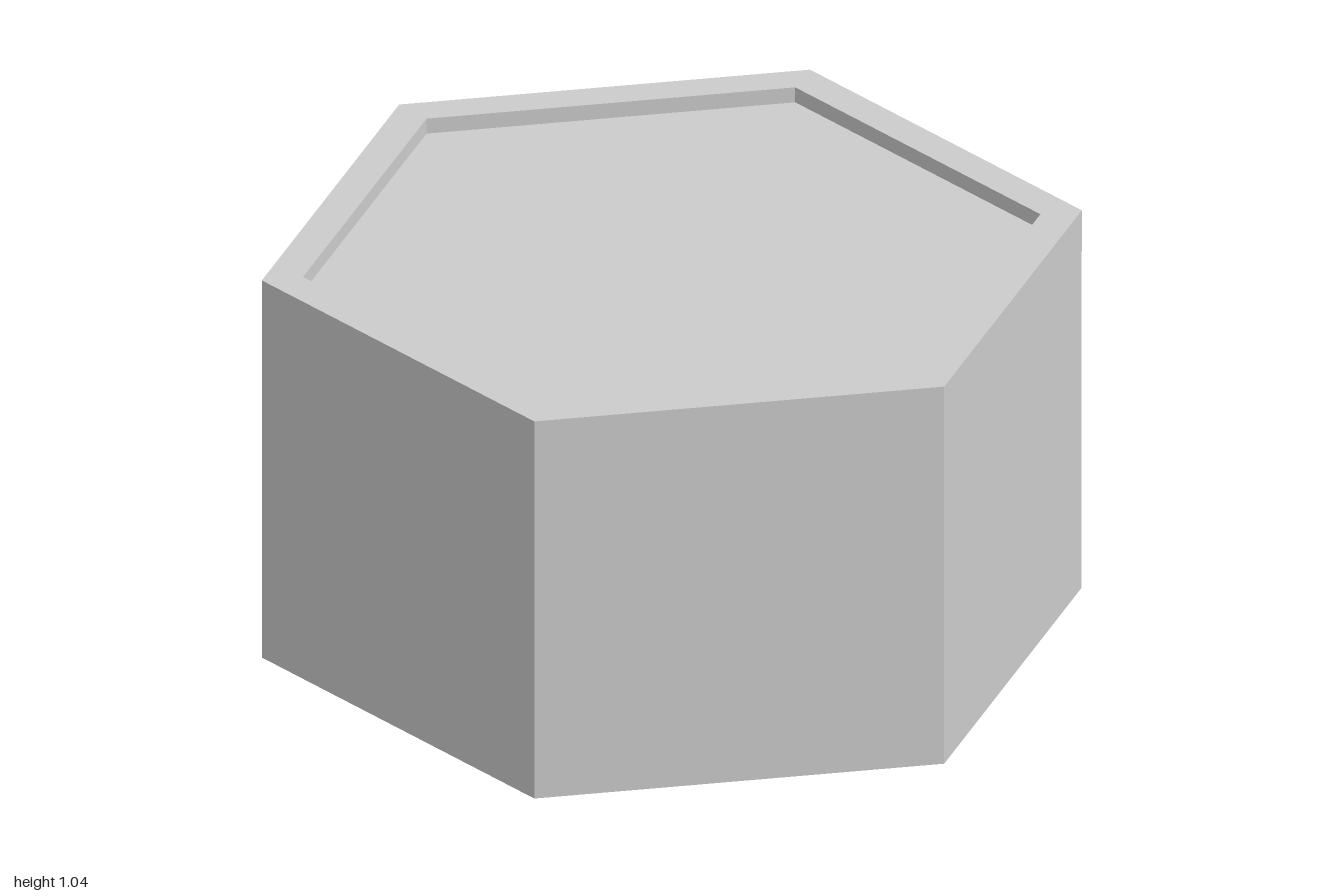
import * as THREE from 'three';

const APOTHEM = Math.sqrt(3) / 2;
const WALL = 0.087;

export function createModel() {
  const model = new THREE.Group();
  const material = new THREE.MeshStandardMaterial({ color: 0xcccccc, flatShading: true });

  // Everything is laid out with the doorway facing -z, then turned to its side
  const building = new THREE.Group();
  building.name = 'building';
  building.rotation.y = Math.PI / 6;
  model.add(building);

  const add = (name, geometry, x = 0, y = 0, z = 0, parent = building) => {
    const mesh = new THREE.Mesh(geometry, material);
    mesh.name = name;
    mesh.position.set(x, y, z);
    parent.add(mesh);
    return mesh;
  };
  const box = (name, w, y0, y1, d, x, z, parent) =>
    add(name, new THREE.BoxGeometry(w, y1 - y0, d), x, (y0 + y1) / 2, z, parent);
  const hexSlab = (name, radius, y0, y1) => {
    const geometry = new THREE.CylinderGeometry(radius, radius, y1 - y0, 6);
    geometry.rotateY(Math.PI / 6);
    return add(name, geometry, 0, (y0 + y1) / 2, 0);
  };

  // Arched opening
  const archPath = () => {
    const path = new THREE.Path();
    path.moveTo(-0.115, 0.06);
    path.lineTo(0.115, 0.06);
    path.lineTo(0.115, 0.4);
    path.absarc(0, 0.4, 0.115, 0, Math.PI, false);
    path.lineTo(-0.115, 0.06);
    return path;
  };

  // One side of the hexagon, its ends mitred to meet the neighbours
  const wall = (name, side, y0, y1, depth, door) => {
    const shape = new THREE.Shape([
      new THREE.Vector2(-0.5, y0), new THREE.Vector2(0.5, y0),
      new THREE.Vector2(0.5, y1), new THREE.Vector2(-0.5, y1),
    ]);
    if (door) shape.holes.push(archPath());
    const geometry = new THREE.ExtrudeGeometry(shape, { depth, bevelEnabled: false, curveSegments: 16 });
    geometry.translate(0, 0, APOTHEM - depth);
    const p = geometry.attributes.position;
    for (let i = 0; i < p.count; i++) {
      if (Math.abs(p.getX(i)) > 0.4) p.setX(i, Math.sign(p.getX(i)) * p.getZ(i) / APOTHEM / 2);
    }
    geometry.computeVertexNormals();
    add(name, geometry).rotation.y = side * Math.PI / 3;
  };
  for (let side = 0; side < 6; side++) {
    wall('wall', side, 0.055, 1.04, WALL, side === 3);
    wall('skirt', side, 0.03, 0.055, 0.008, false);
  }

  // Sunken roof and raised floor
  hexSlab('roof', 0.905, 0.94, 1.0);
  hexSlab('floor', 0.905, 0.065, 0.09);

  // Door panel set at the inner side of the wall, with slim posts and feet
  const door = new THREE.ExtrudeGeometry(new THREE.Shape(archPath().getPoints(16)), { depth: 0.02, bevelEnabled: false });
  add('door', door, 0, 0, -APOTHEM + WALL - 0.005);
  for (const s of [-1, 1]) {
    add('doorPost', new THREE.CylinderGeometry(0.01, 0.01, 0.35, 8), s * 0.107, 0.235, -0.81);
    box('doorFoot', 0.035, 0.04, 0.07, 0.035, s * 0.145, -0.81);
  }

  // Blocks showing under the floor: [x, z, width, depth, bottom]
  [
    [0.27, -0.67, 0.23, 0.23, 0.03],
    [-0.27, -0.67, 0.23, 0.23, 0],
    [0.68, -0.25, 0.14, 0.23, 0.03],
    [0.42, 0.35, 0.47, 0.23, 0.016],
    [0.39, 0.5, 0.23, 0.23, 0.025],
    [-0.33, 0.36, 0.23, 0.23, 0.012],
    [-0.33, 0.04, 0.15, 0.36, 0.008],
  ].forEach(([x, z, w, d, y]) => box('floorBlock', w, y, 0.075, d, x, z));

  // Thin parapet band on the +x side
  box('parapetBand', 0.004, 0.93, 1.04, 1.0, APOTHEM, 0, model);

  return model;
}
